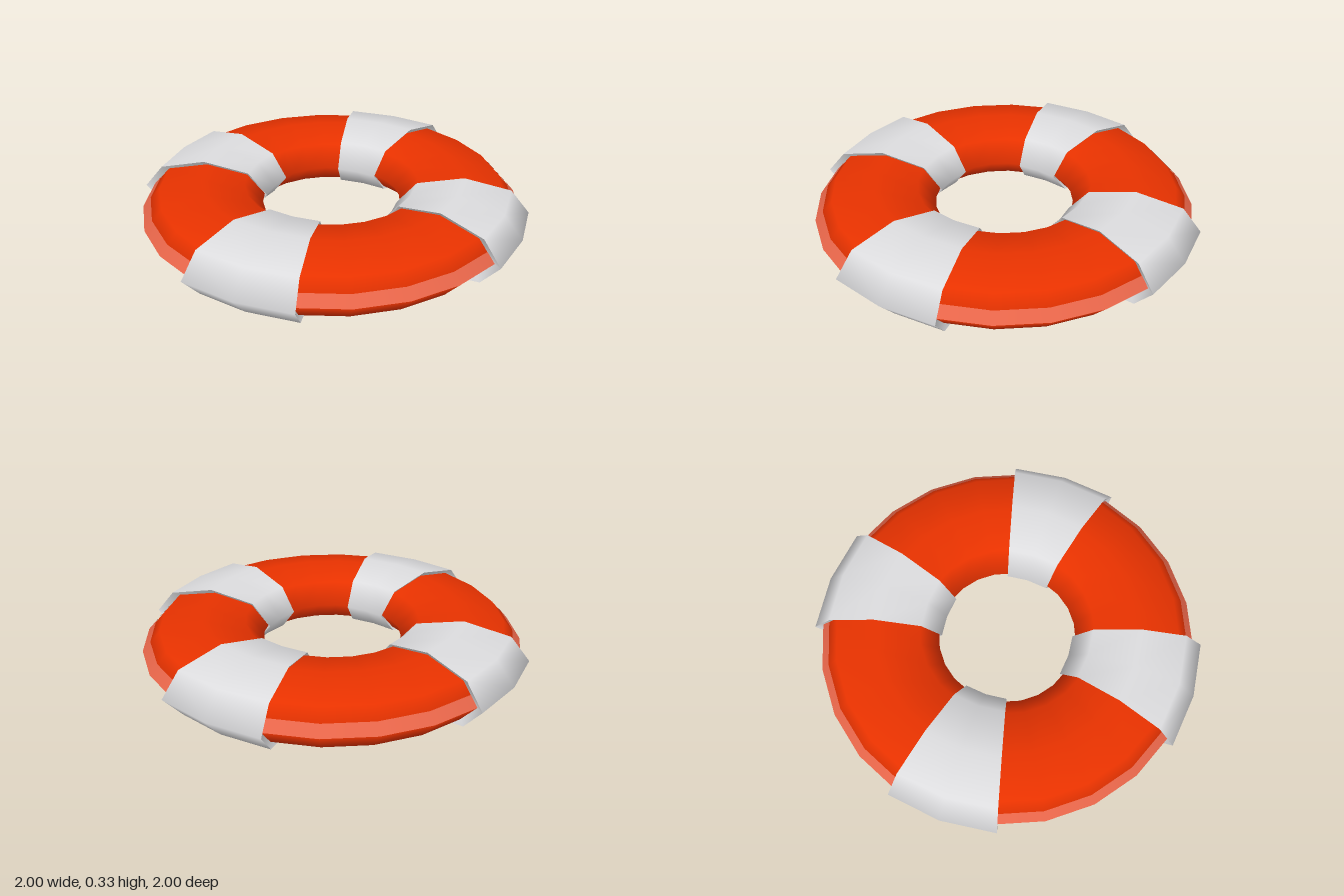
import * as THREE from 'three';

const SIDES = 8;            // sides of the oval cross-section
const SEGMENTS = 24;        // segments round the ring
const MID_Y = 0.165;
const STEP = Math.PI / 12;  // one segment of the ring
const RING = { radius: 0.66, halfWidth: 0.304, halfHeight: 0.145 };
const STRAP = { radius: 0.667, halfWidth: 0.333, halfHeight: 0.165 };
const LINING = { radius: 0.66, halfWidth: 0.3, halfHeight: 0.141 };

// Corner j of an oval cross-section, as (distance from the axis, height)
function corner(oval, j) {
  const t = (j / SIDES) * Math.PI * 2;
  return new THREE.Vector2(oval.radius + oval.halfWidth * Math.cos(t), oval.halfHeight * Math.sin(t));
}

// Flattened ring
function ringGeometry() {
  const g = new THREE.TorusGeometry(RING.radius, RING.halfWidth, SIDES, SEGMENTS);
  g.rotateX(Math.PI / 2);
  g.scale(1, RING.halfHeight / RING.halfWidth, 1);
  return g;
}

// Thin stripe lying on the ring, from its outer edge part of the way up
function rimGeometry() {
  const low = corner(RING, 0), high = corner(RING, 1);
  const lift = new THREE.Vector2(high.y - low.y, low.x - high.x).setLength(0.003);
  return new THREE.LatheGeometry(
    [0, 0.47].map((f) => low.clone().lerp(high, f).add(lift)), SEGMENTS);
}

// Strap wrapped round the ring at +z: three oval loops plus an undercut rim at each end
function strapGeometry() {
  const pos = [], index = [];
  const loop = (oval, side, flare) => {
    const start = pos.length / 3;
    for (let j = 0; j < SIDES; j++) {
      const p = corner(oval, j);
      pos.push(p.x * Math.sin(side * STEP) + side * flare, p.y, p.x * Math.cos(side * STEP));
    }
    return start;
  };
  const join = (a, b) => {
    for (let j = 0; j < SIDES; j++) {
      const k = (j + 1) % SIDES;
      index.push(a + j, b + j, a + k, b + j, b + k, a + k);
    }
  };
  const outer = (side) => loop(STRAP, side, 0.022);
  const inner = (side) => loop(LINING, side, 0.004);

  // Outer skin
  const skin = [-1, 0, 1].map(outer);
  join(skin[0], skin[1]);
  join(skin[1], skin[2]);
  // End rims, on their own vertices so their edges stay sharp
  join(inner(-1), outer(-1));
  join(outer(1), inner(1));

  const g = new THREE.BufferGeometry();
  g.setAttribute('position', new THREE.Float32BufferAttribute(pos, 3));
  g.setIndex(index);
  g.computeVertexNormals();

  // Even, rounded normals on the skin
  const n = new THREE.Vector3();
  skin.forEach((start, i) => {
    const a = (i - 1) * STEP;
    for (let j = 0; j < SIDES; j++) {
      const t = (j / SIDES) * Math.PI * 2;
      const out = Math.cos(t) / STRAP.halfWidth;
      n.set(out * Math.sin(a), Math.sin(t) / STRAP.halfHeight, out * Math.cos(a)).normalize();
      g.attributes.normal.setXYZ(start + j, n.x, n.y, n.z);
    }
  });
  return g;
}

export function createModel() {
  const material = (name, color, side = THREE.FrontSide) => {
    const m = new THREE.MeshStandardMaterial({ color, side });
    m.name = name;
    return m;
  };
  const orange = material('orange', 0xe83200);
  const salmon = material('salmon', 0xe8664a, THREE.DoubleSide);
  const white = material('white', 0xdcdcde);

  const model = new THREE.Group();
  model.name = 'lifeRing';
  const add = (name, geometry, mat) => {
    const mesh = new THREE.Mesh(geometry, mat);
    mesh.name = name;
    mesh.position.y = MID_Y;
    model.add(mesh);
    return mesh;
  };

  add('ring', ringGeometry(), orange);
  add('rimStripe', rimGeometry(), salmon);

  // Four straps
  const strap = strapGeometry();
  ['frontStrap', 'leftStrap', 'backStrap', 'rightStrap'].forEach((name, i) => {
    add(name, strap, white).rotation.y = i * Math.PI / 2;
  });
  return model;
}
